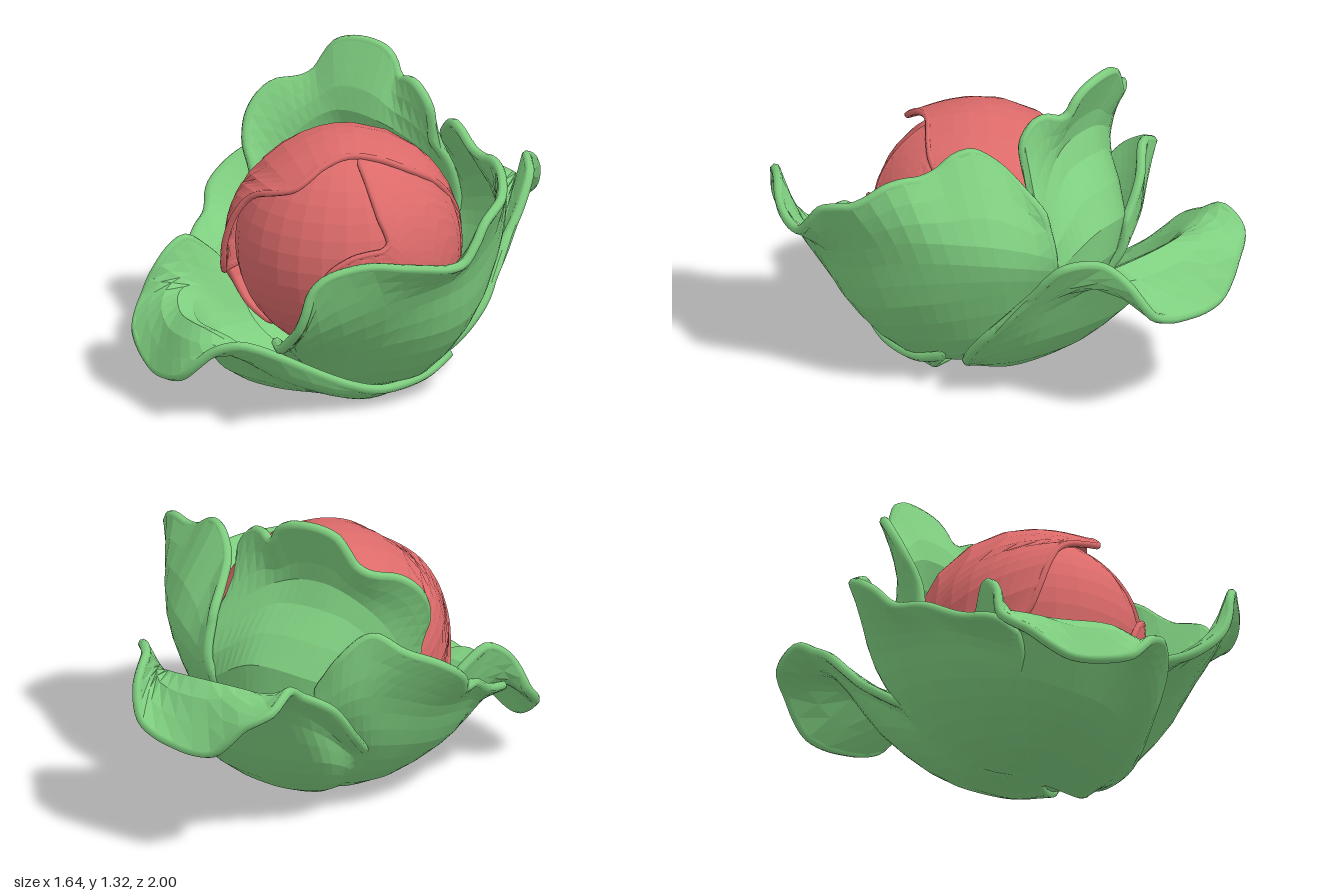
import * as THREE from 'three';

const leafGreen = new THREE.MeshStandardMaterial({ color: 0x7fcf80 });
leafGreen.name = 'leafGreen';
const headRed = new THREE.MeshStandardMaterial({ color: 0xdc6a6a });
headRed.name = 'headRed';

const V = (x, y, z) => new THREE.Vector3(x, y, z);
const smooth = (pts) => new THREE.CatmullRomCurve3(pts, false, 'centripetal');
// Flat list of x, y, z triples to a smooth curve
const curve = (n) => smooth(Array.from({ length: n.length / 3 }, (_, i) => V(n[i * 3], n[i * 3 + 1], n[i * 3 + 2])));

// Thick faceted sheet from at(u, v), with a rounded bead on its sides and rim
function sheet(name, at, material, thick, bead, nu = 28, nv = 12) {
  const grid = [];
  for (let i = 0; i <= nu; i++) {
    grid.push([]);
    for (let j = 0; j <= nv; j++) grid[i].push(at(i / nu, 0.05 + 0.95 * j / nv));
  }
  const pos = [], idx = [];
  for (const side of [1, -1]) {
    const start = pos.length / 3;
    for (let i = 0; i <= nu; i++) {
      for (let j = 0; j <= nv; j++) {
        const du = grid[Math.min(i + 1, nu)][j].clone().sub(grid[Math.max(i - 1, 0)][j]);
        const dv = grid[i][Math.min(j + 1, nv)].clone().sub(grid[i][Math.max(j - 1, 0)]);
        const n = du.cross(dv).normalize();
        pos.push(...grid[i][j].clone().addScaledVector(n, side * thick / 2).toArray());
      }
    }
    for (let i = 0; i < nu; i++) {
      for (let j = 0; j < nv; j++) {
        const a = start + i * (nv + 1) + j, d = a + 1, b = a + nv + 1, c = b + 1;
        idx.push(...(side > 0 ? [a, b, c, a, c, d] : [a, c, b, a, d, c]));
      }
    }
  }
  const indexed = new THREE.BufferGeometry();
  indexed.setAttribute('position', new THREE.Float32BufferAttribute(pos, 3));
  indexed.setIndex(idx);
  const geo = indexed.toNonIndexed();
  geo.computeVertexNormals();

  const edge = [...grid[0], ...grid.slice(1, nu).map((col) => col[nv]), ...grid[nu].slice().reverse()];
  const rim = new THREE.TubeGeometry(smooth(edge), 130, bead, 7);

  const group = new THREE.Group();
  group.name = name;
  [[geo, 'Blade'], [rim, 'Edge']].forEach(([g, part]) => {
    const mesh = new THREE.Mesh(g, material);
    mesh.name = name + part;
    group.add(mesh);
  });
  return group;
}

// Outer leaf lofted from the stalk through belly, neck and ruffled rim sections
const root = V(0, 0.022, 0.12);
function outerLeaf(name, belly, neck, rim) {
  const sections = [belly, neck, rim].map(curve);
  return sheet(name, (u, v) => {
    const [b, n, r] = sections.map((s) => s.getPoint(u));
    const low = root.clone().lerp(b, 0.56);
    low.y = 0.022 + b.y * 0.2;
    return smooth([root, low, b, n, r]).getPoint(v);
  }, leafGreen, 0.04, 0.021);
}

// Leaf wrapped on the round head, from a hidden root to a visible edge that lifts off
const centre = V(-0.03, 0.6, 0.12);
function headLeaf(name, start, edgePoints, radius, lift) {
  const edge = curve(edgePoints);
  const from = start.sub(centre).normalize();
  return sheet(name, (u, v) => {
    const to = edge.getPoint(u).sub(centre).normalize();
    const r = radius + lift * v ** 3 * Math.sin(Math.PI * u ** 0.6);
    return from.clone().lerp(to, v).normalize().multiplyScalar(r).add(centre);
  }, headRed, 0.024, 0.014, 24, 14);
}

function addBall(model, name, radius, centreAt, squash, material) {
  const geo = new THREE.SphereGeometry(radius, 28, 20).toNonIndexed();
  geo.computeVertexNormals();
  const mesh = new THREE.Mesh(geo, material);
  mesh.name = name;
  mesh.position.copy(centreAt);
  mesh.scale.y = squash;
  model.add(mesh);
}

export function createModel() {
  const model = new THREE.Group();
  model.name = 'cabbage';

  // Stalk end where the leaves meet
  addBall(model, 'stalk', 0.11, V(0, 0.03, 0.12), 0.25, leafGreen);

  // Red head: core with two wrapped leaves
  addBall(model, 'headCore', 0.46, centre, 1, headRed);
  model.add(headLeaf('headLeftLeaf', V(-0.4, 0.45, -0.3), [
    -0.3, 0.2, 0.35, -0.42, 0.45, 0.35, -0.33, 0.52, 0.45, -0.25, 0.75, 0.5, -0.18, 0.83, 0.48, 0, 0.88, 0.45,
    0.06, 0.97, 0.36, 0.12, 1.03, 0.28, 0.3, 0.98, 0.1, 0.35, 0.9, -0.05, 0.3, 0.6, -0.25], 0.47, 0.055));
  model.add(headLeaf('headRightLeaf', V(0.35, 0.3, -0.1), [
    0.28, 0.85, -0.15, 0.2, 1, 0.12, 0.14, 1.02, 0.24, 0.22, 0.96, 0.3, 0.33, 0.85, 0.35, 0.38, 0.72, 0.35, 0.28, 0.68, 0.45,
    0.18, 0.6, 0.5, 0.12, 0.42, 0.52, 0.1, 0.25, 0.4], 0.468, 0.015));

  // Large leaf on the +x side
  model.add(outerLeaf('leftSideLeaf',
    [0.05, 0.18, 0.48, 0.2, 0.26, 0.62, 0.44, 0.33, 0.46, 0.59, 0.37, 0.18, 0.51, 0.45, -0.1, 0.32, 0.5, -0.3, 0.1, 0.48, -0.39],
    [0.07, 0.28, 0.64, 0.28, 0.42, 0.82, 0.56, 0.58, 0.57, 0.68, 0.65, 0.25, 0.62, 0.78, -0.08, 0.42, 0.76, -0.31, 0.14, 0.66, -0.45],
    [0.08, 0.34, 0.72, 0.22, 0.38, 0.86, 0.36, 0.52, 0.91, 0.42, 0.7, 0.88, 0.55, 0.77, 0.74, 0.72, 0.75, 0.55,
      0.79, 0.74, 0.38, 0.8, 0.89, 0.24, 0.76, 0.95, 0.08, 0.66, 1.04, -0.02, 0.5, 1.04, -0.08, 0.34, 1.12, -0.14,
      0.22, 1.03, -0.22, 0.15, 0.85, -0.4]));

  // Low front leaf with a drooping lip, lapping over the side leaves
  model.add(outerLeaf('frontLeaf',
    [-0.38, 0.2, 0.3, -0.4, 0.2, 0.5, -0.25, 0.14, 0.62, -0.05, 0.12, 0.62, 0.12, 0.1, 0.53, 0.23, 0.04, 0.34, 0.25, 0.03, 0.1],
    [-0.45, 0.35, 0.33, -0.52, 0.4, 0.58, -0.38, 0.37, 0.77, -0.15, 0.36, 0.86, 0.09, 0.22, 0.74, 0.27, 0.08, 0.41, 0.33, 0.07, 0.05],
    [-0.5, 0.45, 0.35, -0.58, 0.59, 0.5, -0.62, 0.5, 0.62, -0.65, 0.37, 0.68, -0.6, 0.27, 0.8, -0.45, 0.17, 0.88,
      -0.32, 0.17, 0.94, -0.2, 0.21, 0.98, -0.08, 0.32, 0.95, 0.03, 0.36, 0.9, 0.14, 0.3, 0.78, 0.23, 0.18, 0.58,
      0.32, 0.085, 0.35, 0.38, 0.1, 0.1, 0.39, 0.16, -0.05]));

  // Back leaf arching outward, with a steeply drooping tip
  model.add(outerLeaf('backLeaf',
    [0.32, 0.15, -0.13, 0.24, 0.29, -0.4, 0, 0.3, -0.47, -0.2, 0.3, -0.47, -0.38, 0.3, -0.38, -0.35, 0.18, -0.1],
    [0.38, 0.31, -0.28, 0.29, 0.57, -0.56, 0.05, 0.69, -0.75, -0.3, 0.7, -0.76, -0.45, 0.6, -0.58, -0.42, 0.27, -0.14],
    [0.34, 0.47, -0.42, 0.34, 0.61, -0.55, 0.31, 0.75, -0.67, 0.2, 0.77, -0.79, 0.15, 0.69, -0.91,
      0.08, 0.56, -0.97, -0.1, 0.5, -0.98, -0.3, 0.51, -0.98, -0.43, 0.64, -0.95, -0.53, 0.71, -0.88, -0.53, 0.77, -0.77,
      -0.52, 0.72, -0.68, -0.56, 0.62, -0.52, -0.54, 0.45, -0.35, -0.45, 0.3, -0.15]));

  // Tall leaf standing behind the head
  model.add(outerLeaf('tallLeaf',
    [0.12, 0.55, -0.42, -0.1, 0.65, -0.45, -0.32, 0.62, -0.38, -0.48, 0.52, -0.2, -0.5, 0.33, 0.03],
    [0.14, 0.82, -0.36, -0.1, 0.99, -0.24, -0.36, 1, -0.2, -0.53, 0.83, -0.1, -0.53, 0.47, 0.05],
    [0.11, 0.96, -0.28, 0.11, 1.12, -0.25, 0.02, 1.2, -0.26, -0.08, 1.18, -0.3, -0.15, 1.27, -0.32, -0.28, 1.3, -0.31,
      -0.4, 1.27, -0.28, -0.47, 1.15, -0.24, -0.52, 1.11, -0.2, -0.61, 1.09, -0.12, -0.65, 1, -0.03, -0.63, 0.88, 0.03,
      -0.57, 0.75, 0.05, -0.55, 0.55, 0.05]));

  // Flared leaf on the -x side
  model.add(outerLeaf('rightSideLeaf',
    [-0.32, 0.35, -0.28, -0.48, 0.33, -0.16, -0.54, 0.28, 0.1, -0.48, 0.23, 0.35, -0.4, 0.2, 0.5],
    [-0.37, 0.5, -0.36, -0.56, 0.6, -0.26, -0.66, 0.5, 0.04, -0.6, 0.42, 0.35, -0.46, 0.3, 0.58],
    [-0.38, 0.62, -0.37, -0.48, 0.77, -0.35, -0.58, 0.87, -0.27, -0.7, 0.81, -0.21, -0.78, 0.74, -0.08, -0.8, 0.65, 0.05,
      -0.76, 0.57, 0.12, -0.71, 0.54, 0.25, -0.65, 0.45, 0.42, -0.6, 0.4, 0.58, -0.5, 0.35, 0.6]));

  return model;
}
